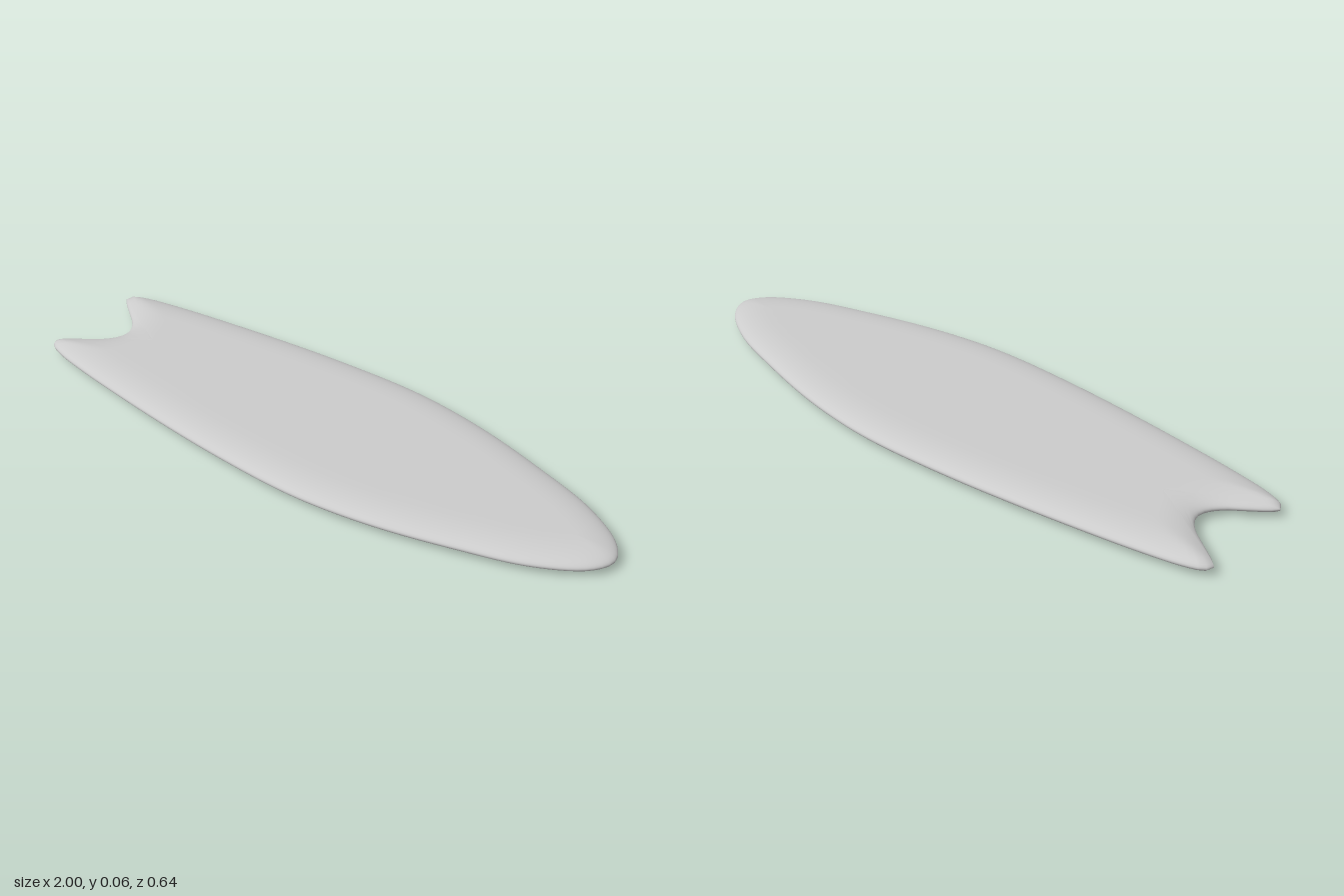
import * as THREE from 'three';

const HALF = 0.03;   // half thickness
const RIM = 0.11;    // width of the rounded rail
const RINGS = 14;    // rings from rail to centre line
const COUNT = 200;   // points around the outline

// Smooth plan outline: nose, one side, swallow tail, mirrored side
function makeOutline() {
  const side = [
    [0.965, 0.068], [0.83, 0.155], [0.62, 0.225], [0.4, 0.282], [0.2, 0.313], [0.05, 0.32],
    [-0.2, 0.309], [-0.4, 0.291], [-0.6, 0.267], [-0.8, 0.238], [-0.93, 0.212], [-0.985, 0.19],
    [-1, 0.168], [-0.98, 0.146], [-0.93, 0.108], [-0.88, 0.07], [-0.85, 0.032],
  ];
  const loop = [[1, 0], ...side, [-0.842, 0], ...side.map(([x, z]) => [x, -z]).reverse()];
  const curve = new THREE.CatmullRomCurve3(loop.map(([x, z]) => new THREE.Vector3(x, 0, -z)), true);
  return curve.getSpacedPoints(COUNT).slice(0, COUNT);
}

// Shortest distance from a point to the outline
function edgeDistance(p, outline) {
  const line = new THREE.Line3(), near = new THREE.Vector3();
  let best = Infinity;
  outline.forEach((a, i) => {
    line.set(a, outline[(i + 1) % COUNT]).closestPointToPoint(p, true, near);
    best = Math.min(best, near.distanceTo(p));
  });
  return best;
}

// Rings shrink from the rail to the centre line; height follows an elliptical rail
function makeBoard() {
  const outline = makeOutline();
  const rings = [];
  for (let k = 0; k <= RINGS; k++) {
    const t = (k / RINGS) ** 2;
    rings.push(outline.map((p) => {
      const spine = new THREE.Vector3(THREE.MathUtils.clamp(p.x, -0.72, 0.88), 0, 0);
      const q = p.clone().lerp(spine, t);
      const d = k === 0 ? 0 : Math.min(1, edgeDistance(q, outline) / RIM);
      q.y = HALF * Math.sqrt(1 - (1 - d) ** 2);
      return q;
    }));
  }

  const positions = [], index = [];
  for (let j = -RINGS; j <= RINGS; j++) {
    for (const p of rings[Math.abs(j)]) positions.push(p.x, HALF + Math.sign(j) * p.y, p.z);
  }
  for (let j = 0; j < 2 * RINGS; j++) {
    for (let i = 0; i < COUNT; i++) {
      const n = (i + 1) % COUNT;
      const a = j * COUNT + i, b = j * COUNT + n, c = b + COUNT, d = a + COUNT;
      index.push(a, b, c, a, c, d);
    }
  }
  const geometry = new THREE.BufferGeometry();
  geometry.setAttribute('position', new THREE.Float32BufferAttribute(positions, 3));
  geometry.setIndex(index);
  geometry.computeVertexNormals();
  return geometry;
}

export function createModel() {
  const group = new THREE.Group();
  group.name = 'surfboard';
  const board = new THREE.Mesh(makeBoard(), new THREE.MeshStandardMaterial({ color: 0xcccccc }));
  board.name = 'board';
  group.add(board);
  return group;
}
